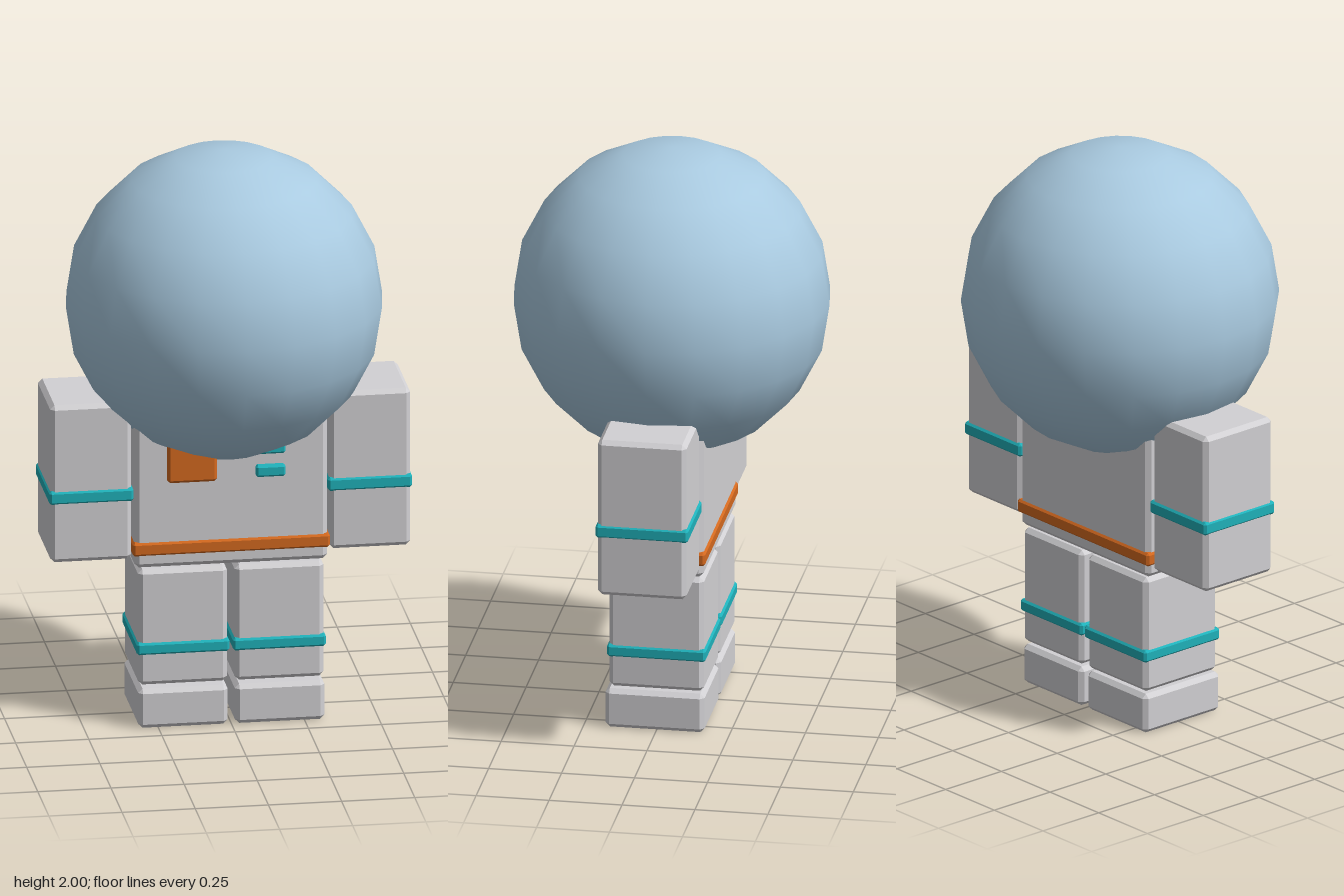
import * as THREE from 'three';
import { ConvexGeometry } from 'three/addons/geometries/ConvexGeometry.js';

const material = (name, color) => {
  const m = new THREE.MeshStandardMaterial({ color });
  m.name = name;
  return m;
};

// Box between two corners with flat chamfered edges
function chamferBox(min, max, c) {
  const points = [];
  const mid = min.map((v, i) => (v + max[i]) / 2);
  const half = min.map((v, i) => (max[i] - v) / 2);
  for (const sx of [-1, 1]) for (const sy of [-1, 1]) for (const sz of [-1, 1]) {
    const s = [sx, sy, sz];
    // Each corner becomes three points, one on each adjoining face
    for (let face = 0; face < 3; face++) {
      points.push(new THREE.Vector3(...s.map((sign, i) => mid[i] + sign * (half[i] - (i === face ? 0 : c)))));
    }
  }
  return new ConvexGeometry(points);
}

export function createModel() {
  const model = new THREE.Group();
  model.name = 'astronaut';
  const suit = material('suit grey', 0xd2d1d4);
  const orange = material('orange trim', 0xd4691f);
  const teal = material('teal trim', 0x20b2bb);
  const glass = material('helmet blue', 0xa9cae0);

  const add = (parent, name, mat, min, max, chamfer) => {
    const mesh = new THREE.Mesh(chamferBox(min, max, chamfer), mat);
    mesh.name = name;
    parent.add(mesh);
  };

  // Helmet
  const helmet = new THREE.Mesh(new THREE.SphereGeometry(0.54, 20, 10), glass);
  helmet.name = 'helmet';
  helmet.position.y = 1.46;
  model.add(helmet);

  // Torso, belt and chest controls
  add(model, 'torso', suit, [-0.33, 0.57, -0.163], [0.33, 1.16, 0.163], 0.016);
  add(model, 'belt', orange, [-0.337, 0.615, -0.17], [0.337, 0.663, 0.17], 0.008);
  add(model, 'chestPack', orange, [-0.22, 0.875, 0.15], [-0.05, 1.05, 0.183], 0.01);
  for (const y of [0.883, 0.965]) {
    add(model, 'chestButton', teal, [0.082, y, 0.15], [0.183, y + 0.041, 0.185], 0.007);
  }

  // Arms and legs, with matching bands on both sides
  for (const [side, s] of [['left', 1], ['right', -1]]) {
    const limb = (part, mat, x0, x1, y0, y1, zBack, zFront, c) => add(
      model, side + part, mat,
      [Math.min(s * x0, s * x1), y0, zBack], [Math.max(s * x0, s * x1), y1, zFront], c);
    limb('Arm', suit, 0.338, 0.615, 0.6, 1.162, -0.153, 0.151, 0.015);
    limb('ArmBand', teal, 0.332, 0.62, 0.81, 0.857, -0.16, 0.157, 0.008);
    limb('Leg', suit, 0.013, 0.317, 0.15, 0.563, -0.162, 0.162, 0.015);
    limb('LegBand', teal, 0.006, 0.323, 0.26, 0.304, -0.169, 0.169, 0.008);
    limb('Boot', suit, 0.012, 0.318, 0, 0.14, -0.164, 0.176, 0.015);
  }
  return model;
}
